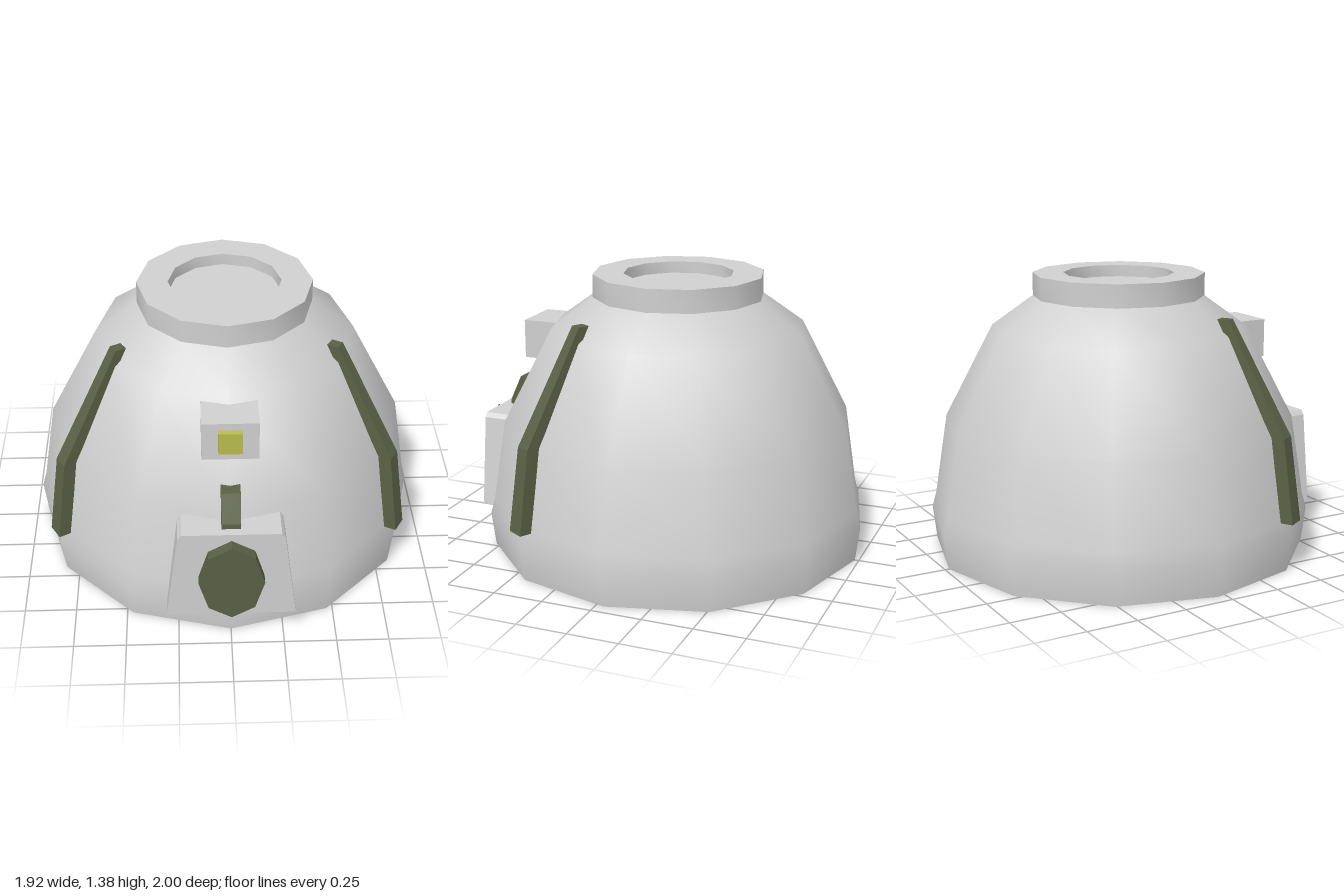
import * as THREE from 'three';
import { toCreasedNormals } from 'three/addons/utils/BufferGeometryUtils.js';

const CENTRE_Z = -0.038;

function material(name, color) {
  const m = new THREE.MeshStandardMaterial({ color });
  m.name = name;
  return m;
}

export function createModel() {
  const grey = material('light grey', 0xcfcfcf);
  const olive = material('olive green', 0x5a6045);
  const yellow = material('lamp yellow', 0xb9bb4e);
  const model = new THREE.Group();
  model.name = 'domedCapsule';

  const add = (name, geometry, mat, x = 0, y = 0, z = 0) => {
    const mesh = new THREE.Mesh(geometry, mat);
    mesh.name = name;
    mesh.position.set(x, y, z);
    model.add(mesh);
    return mesh;
  };
  const points = (list) => list.map(([x, y]) => new THREE.Vector2(x, y));
  // Twelve-sided turned part, smooth around but sharp at its rims
  const turned = (profile) =>
    toCreasedNormals(new THREE.LatheGeometry(points(profile), 12), Math.PI / 4);
  const plate = (outline, depth) =>
    new THREE.ExtrudeGeometry(new THREE.Shape(points(outline)), { depth, bevelEnabled: false });

  // Bar swept through rings of { inner, outer, y, width }, running out along +z
  const bar = (rings) => {
    const pos = [], index = [];
    for (const { inner, outer, y, width } of rings) {
      const w = width / 2;
      pos.push(-w, y, outer, w, y, outer, w, y, inner, -w, y, inner);
    }
    for (let r = 0; r < rings.length - 1; r++) {
      for (let i = 0; i < 4; i++) {
        const a = r * 4 + i, b = r * 4 + (i + 1) % 4;
        index.push(a, b, b + 4, a, b + 4, a + 4);
      }
    }
    const t = (rings.length - 1) * 4;
    index.push(0, 3, 2, 0, 2, 1, t, t + 1, t + 2, t, t + 2, t + 3);
    const g = new THREE.BufferGeometry();
    g.setAttribute('position', new THREE.Float32BufferAttribute(pos, 3));
    g.setIndex(index);
    return toCreasedNormals(g, 0.1);
  };

  // Dome and base band
  add('dome', turned([[0, 0], [0.942, 0], [0.962, 0.17], [0.94, 0.25], [0.875, 0.655],
    [0.632, 1.12], [0.425, 1.27]]), grey, 0, 0, CENTRE_Z);

  // Top collar with a shallow recess
  add('topCollar', turned([[0, 1.265], [0.426, 1.265], [0.426, 1.383], [0.274, 1.383],
    [0.274, 1.325], [0, 1.325]]), grey, 0, 0, CENTRE_Z);

  // Side ribs, tapering towards the top
  for (const side of [-1, 1]) {
    const rib = add(side > 0 ? 'leftRib' : 'rightRib', bar([
      { inner: 0.925, outer: 0.988, y: 0.25, width: 0.092 },
      { inner: 0.865, outer: 0.93, y: 0.66, width: 0.08 },
      { inner: 0.562, outer: 0.618, y: 1.2, width: 0.055 },
    ]), olive, 0, 0, CENTRE_Z);
    rib.rotation.y = side * Math.PI / 3;
  }

  // Hatch panel on the front
  add('hatchPanel', plate([[-0.305, 0.135], [0.305, 0.135], [0.247, 0.592], [0.23, 0.615],
    [-0.23, 0.615], [-0.247, 0.592]], 0.22), grey, 0, 0, 0.72);

  // Eight-sided oval hatch on a short stub
  const oval = [];
  for (let i = 0; i < 8; i++) {
    const a = i * Math.PI / 4;
    oval.push([0.153 * Math.cos(a), 0.375 + 0.21 * Math.sin(a)]);
  }
  add('ovalHatch', plate(oval, 0.054), olive, 0, 0, 0.946);
  add('hatchStub', new THREE.BoxGeometry(0.1, 0.14, 0.03), olive, 0, 0.375, 0.94);

  // Short rib above the hatch
  add('frontRib', bar([
    { inner: 0.78, outer: 0.9, y: 0.6, width: 0.09 },
    { inner: 0.87 - 0.11, outer: 0.895, y: 0.64, width: 0.09 },
    { inner: 0.75, outer: 0.835, y: 0.77, width: 0.09 },
  ]), olive);

  // Lamp housing and lamp
  add('lampHousing', new THREE.BoxGeometry(0.262, 0.195, 0.255), grey, 0, 1.0025, 0.6275);
  add('lamp', new THREE.BoxGeometry(0.11, 0.11, 0.04), yellow, 0, 1.01, 0.766);

  return model;
}
